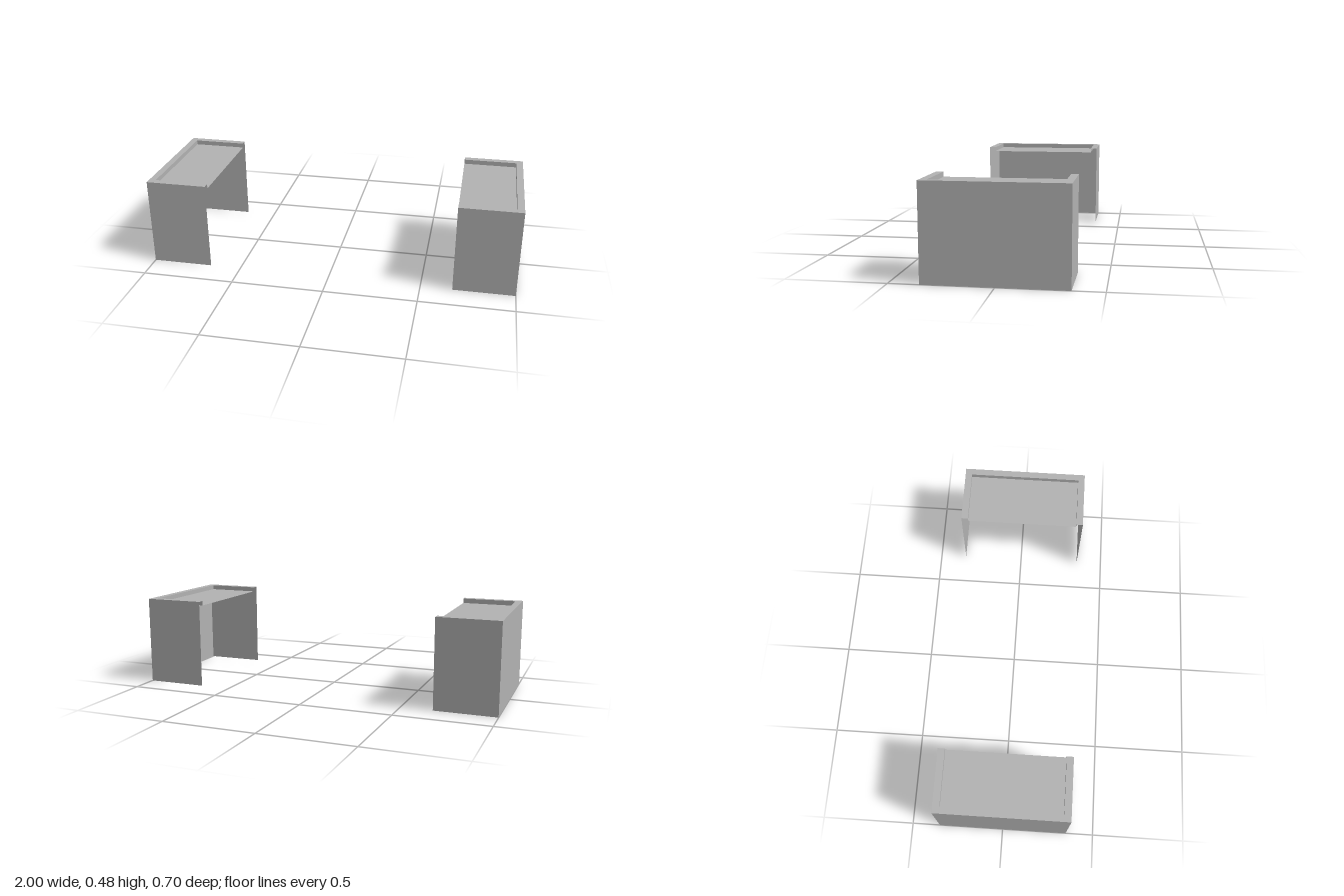
import * as THREE from 'three';

const IN = 0.67, OUT = 1, H = 0.48, RIM = 0.037, DEPTH = 0.025, ZF = 0.35;

export function createModel() {
  const model = new THREE.Group();
  const grey = new THREE.MeshStandardMaterial({ color: 0xb2b2b2, side: THREE.DoubleSide });
  grey.name = 'plain grey';

  // One open half of the casing; s is the side it stands on, zb its back
  const half = (s, zb, name) => {
    const g = new THREE.Group();
    g.name = name;

    // Flat sheet spanning two corners in a plane of constant x, y or z
    const sheet = (part, axis, [x0, y0, z0], [x1, y1, z1]) => {
      const w = axis === 'x' ? z1 - z0 : x1 - x0;
      const h = axis === 'y' ? z1 - z0 : y1 - y0;
      const geo = new THREE.PlaneGeometry(Math.abs(w), Math.abs(h));
      if (axis === 'x') geo.rotateY(s * Math.PI / 2);
      if (axis === 'y') geo.rotateX(-Math.PI / 2);
      if (axis === 'z' && part.startsWith('back')) geo.rotateY(Math.PI);
      geo.translate(s * (x0 + x1) / 2, (y0 + y1) / 2, (z0 + z1) / 2);
      const mesh = new THREE.Mesh(geo, grey);
      mesh.name = part;
      g.add(mesh);
    };

    const xr = OUT - RIM, zf = ZF - RIM, zr = zb + RIM, low = H - DEPTH;

    // Three thin walls, open underneath and on the inner side
    sheet('outerWall', 'x', [OUT, 0, zb], [OUT, H, ZF]);
    sheet('frontWall', 'z', [IN, 0, ZF], [OUT, H, ZF]);
    sheet('backWall', 'z', [IN, 0, zb], [OUT, H, zb]);

    // Raised rim around the top
    sheet('outerRim', 'y', [xr, H, zb], [OUT, H, ZF]);
    sheet('frontRim', 'y', [IN, H, zf], [xr, H, ZF]);
    sheet('backRim', 'y', [IN, H, zb], [xr, H, zr]);

    // Steps down to the sunken top panel
    sheet('outerStep', 'x', [xr, low, zr], [xr, H, zf]);
    sheet('frontStep', 'z', [IN, low, zf], [xr, H, zf]);
    sheet('backStep', 'z', [IN, low, zr], [xr, H, zr]);
    sheet('topPanel', 'y', [IN, low, zr], [xr, low, zf]);
    return g;
  };

  model.add(half(1, -0.347, 'leftHalf'), half(-1, -0.35, 'rightHalf'));
  return model;
}
